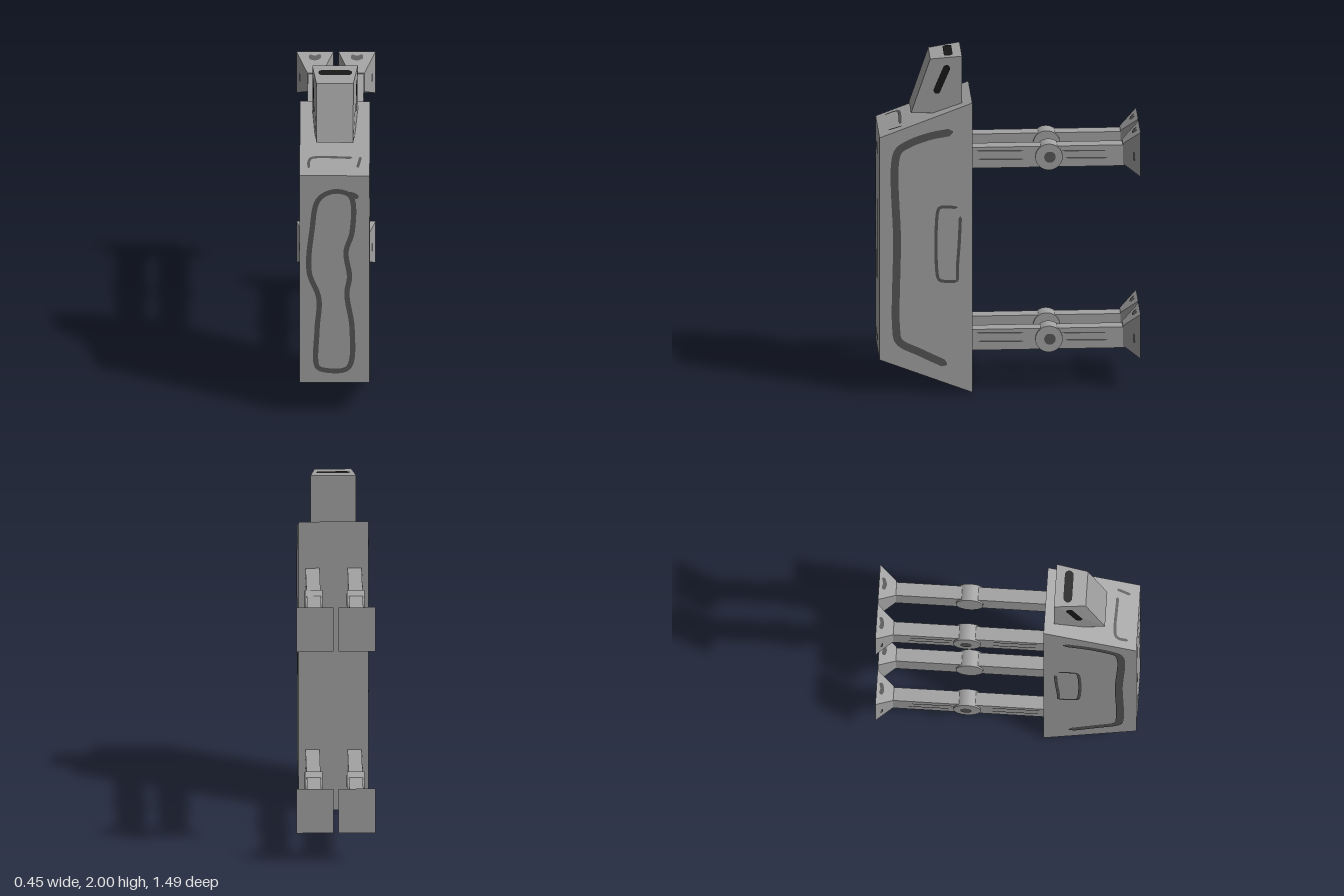
import * as THREE from 'three';
import { ConvexGeometry } from 'three/addons/geometries/ConvexGeometry.js';

const V = (x, y, z) => new THREE.Vector3(x, y, z);

export function createModel() {
  const group = new THREE.Group();
  const grey = new THREE.MeshStandardMaterial({ color: 0xa2a2a2 });
  const paint = new THREE.MeshStandardMaterial({ color: 0x565656, side: THREE.DoubleSide });
  const black = new THREE.MeshStandardMaterial({ color: 0x181818, side: THREE.DoubleSide });

  const add = (name, geometry, material, parent = group) => {
    const mesh = new THREE.Mesh(geometry, material);
    mesh.name = name;
    parent.add(mesh);
    return mesh;
  };

  // Painted stroke with rounded ends; place() lays the flat path onto a surface
  function stroke(name, points, width, place, material = paint, parent = group, closed = false) {
    const curve = new THREE.CatmullRomCurve3(points.map(([u, v]) => V(u, v, 0)), closed, 'centripetal');
    const n = points.length * 8, length = curve.getLength(), r = width / 2;
    const pos = [], index = [];
    for (let i = 0; i <= n; i++) {
      const t = i / n, p = curve.getPointAt(t), d = curve.getTangentAt(t);
      const end = Math.min(1, Math.min(t, 1 - t) * length / r);
      const h = closed ? r : r * Math.sqrt(Math.max(0.05, 1 - (1 - end) ** 2));
      for (const s of [-1, 1]) pos.push(...place(p.x - d.y * h * s, p.y + d.x * h * s).toArray());
      if (i < n) index.push(2 * i, 2 * i + 1, 2 * i + 2, 2 * i + 1, 2 * i + 3, 2 * i + 2);
    }
    const g = new THREE.BufferGeometry();
    g.setAttribute('position', new THREE.Float32BufferAttribute(pos, 3));
    g.setIndex(index);
    g.computeVertexNormals();
    return add(name, g, material, parent);
  }

  // Body: side profile swept across the width
  const profile = [[0.215, 0], [0.745, 0.205], [0.745, 1.54], [0.215, 1.74]];
  add('body', new ConvexGeometry(profile.flatMap(([z, y]) => [V(-0.2, y, z), V(0.2, y, z)])), grey);

  // Head: wedge with a narrower, leaning face
  const head = [[0.13, 1.655, 0.27], [0.13, 2, 0.27], [0.105, 1.655, 0.56], [0.105, 1.978, 0.45]];
  add('head', new ConvexGeometry(head.flatMap(([x, y, z]) => [V(x, y, z), V(-x, y, z)])), grey);

  // Front loop
  stroke('frontLoop', [[-0.1, 0.31], [-0.1, 0.55], [-0.09, 0.75], [-0.145, 0.92], [-0.13, 1.18],
    [-0.09, 1.39], [0, 1.44], [0.09, 1.41], [0.1, 1.18], [0.065, 1.05], [0.085, 0.89],
    [0.07, 0.78], [0.1, 0.55], [0.075, 0.3], [-0.07, 0.29]], 0.03,
  (x, y) => V(x, y, 0.748), paint, group, true);
  stroke('frontLoopTail', [[0.06, 1.425], [0.1, 1.42], [0.135, 1.4]], 0.03, (x, y) => V(x, y, 0.749));

  for (const s of [1, -1]) {
    // Side outline and side panel
    const side = (z, y) => V(s * 0.203, y, z);
    stroke('sideOutline', [[0.325, 1.57], [0.46, 1.545], [0.59, 1.495], [0.643, 1.45], [0.645, 0.9],
      [0.65, 0.39], [0.635, 0.315], [0.51, 0.245], [0.36, 0.17]], 0.045, side);
    stroke('sidePanel', [[0.3, 1.115], [0.4, 1.115], [0.413, 1.09], [0.413, 0.7], [0.4, 0.678], [0.3, 0.67]],
      0.018, side);
    stroke('sidePanelEdge', [[0.283, 1.06], [0.29, 0.9], [0.3, 0.75], [0.3, 0.67]], 0.018, side);

    // Eyes
    stroke('eye', [[0.35, 1.945], [0.385, 1.86], [0.42, 1.775]], 0.04, (z, y) => {
      const front = 0.56 - 0.11 * (y - 1.655) / 0.323;
      return V(s * (0.135 - 0.025 * (z - 0.27) / (front - 0.27)), y, z);
    }, black);

    // Underside marks
    stroke('undersideMark', [[s * 0.09, 0.06], [s * 0.1, 0.15]], 0.015,
      (x, y) => V(x, y - 0.004, 0.215 + y * 0.53 / 0.205));
  }

  // Crown mark on the head
  stroke('crownMark', [[-0.095, 0.345], [0, 0.345], [0.098, 0.345]], 0.05,
    (x, z) => V(x, 2.003 - (z - 0.27) * 0.122, z), black);

  // Shoulder marks on the sloping top
  const slope = (x, z) => V(x, 1.743 - (z - 0.215) * 0.377, z);
  stroke('shoulderMark', [[0.1, 0.62], [-0.13, 0.622], [-0.146, 0.64], [-0.148, 0.695]], 0.016, slope);
  stroke('shoulderTick', [[0.147, 0.615], [0.14, 0.65], [0.13, 0.69]], 0.016, slope);

  // Limbs: bar, joint disc and flared foot
  for (const s of [1, -1]) {
    for (const y0 of [0.302, 1.397]) {
      const limb = new THREE.Group();
      limb.name = y0 > 1 ? 'arm' : 'leg';
      limb.position.set(s * 0.12, y0, 0);
      group.add(limb);

      add('bar', new THREE.BoxGeometry(0.08, 0.125, 0.875), grey, limb).position.z = -0.2225;

      const joint = add('joint', new THREE.CylinderGeometry(0.078, 0.078, 0.1, 32), grey, limb);
      joint.rotation.z = Math.PI / 2;
      joint.position.z = -0.225;

      const corners = [];
      for (const k of [-1, 1]) {
        for (const [y, z, w] of [[-0.05, -0.647, 0.043], [0.07, -0.647, 0.043], [-0.11, -0.745, 0.106], [0.157, -0.745, 0.106]])
          corners.push(V(k * w, y, z));
      }
      add('foot', new ConvexGeometry(corners), grey, limb);

      // Painted limb details on the outer side
      const barSide = (z, y) => V(s * 0.043, y, z);
      for (const [a, b, y] of [[0.19, -0.08, 0.043], [0.18, -0.08, -0.008], [-0.3, -0.55, 0.035], [-0.32, -0.56, -0.008]])
        stroke('barLine', [[a, y], [b, y - 0.004]], 0.008, barSide, paint, limb);

      const dot = add('jointDot', new THREE.CircleGeometry(0.033, 20), paint, limb);
      dot.rotation.y = s * Math.PI / 2;
      dot.position.set(s * 0.053, 0, -0.23);

      stroke('footSideMark', [[-0.71, -0.02], [-0.708, 0.035]], 0.012,
        (z, y) => V(s * (0.047 + (-0.647 - z) * 0.643), y, z), paint, limb);
      stroke('footTopMark', [[-0.035, -0.72], [0, -0.712], [0.035, -0.722]], 0.022,
        (x, z) => V(x, 0.074 + (-0.647 - z) * 0.888, z), paint, limb);
    }
  }
  return group;
}
